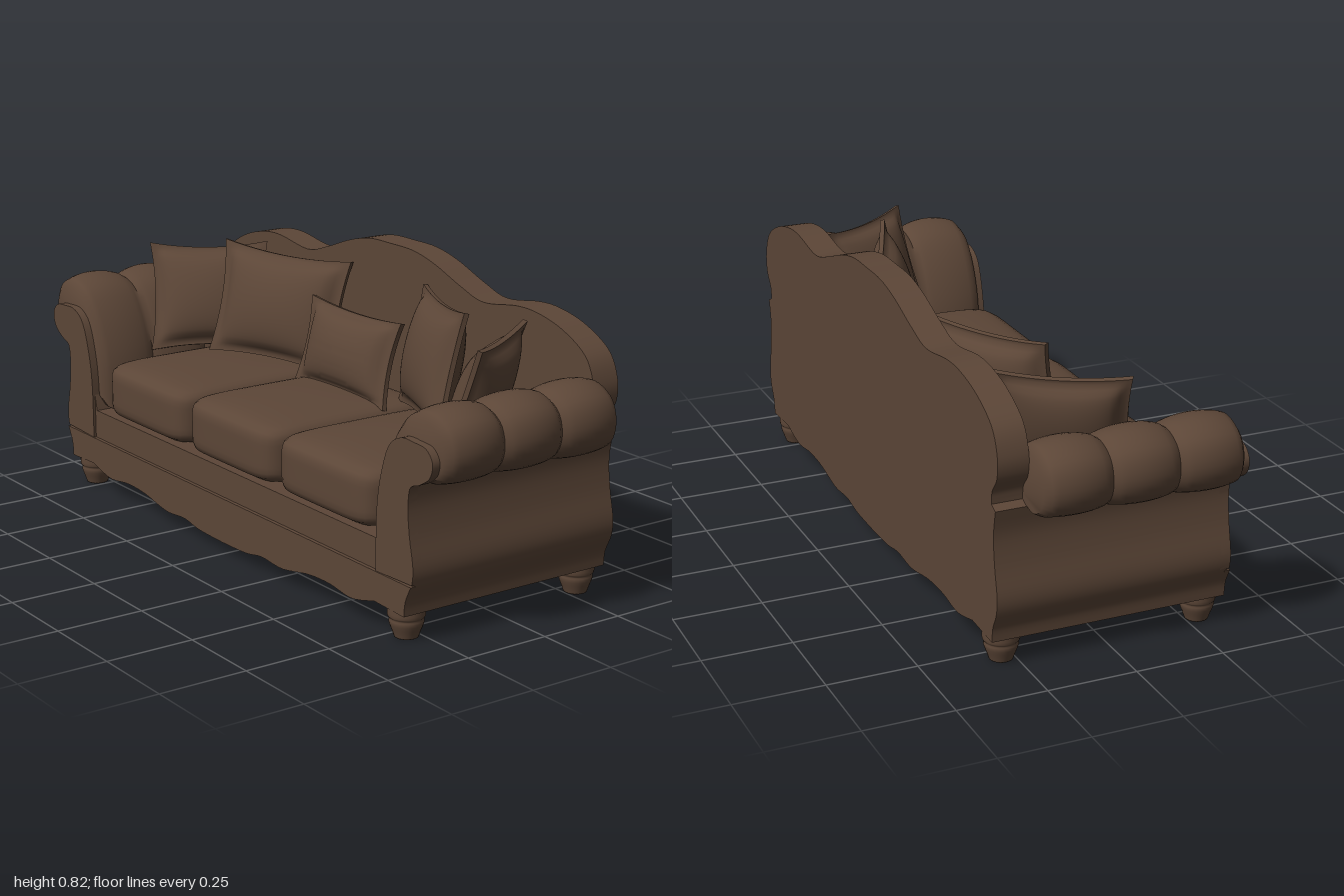
import * as THREE from 'three';
import { mergeVertices, toCreasedNormals } from 'three/addons/utils/BufferGeometryUtils.js';

const V = (x, y) => new THREE.Vector2(x, y);
const smooth = (pts, n = 24) => new THREE.SplineCurve(pts.map(p => V(...p))).getPoints(n);

// closed symmetric outline from its right half
function mirrored(half) {
  return new THREE.Shape([...half, ...half.slice().reverse().filter(p => p.x > 1e-4).map(p => V(-p.x, p.y))]);
}

// extrude an outline between two depths, keeping curved sides smooth
function slab(shape, z0, z1) {
  const g = new THREE.ExtrudeGeometry(shape, { depth: z1 - z0, bevelEnabled: false });
  g.translate(0, 0, z0);
  return toCreasedNormals(g, 0.6);
}

// subdivided cube whose vertices are moved by a rule
function shaped(segX, segY, segZ, rule) {
  let g = new THREE.BoxGeometry(2, 2, 2, segX, segY, segZ);
  g.deleteAttribute('uv');
  g.deleteAttribute('normal');
  g = mergeVertices(g);
  const p = g.attributes.position;
  for (let i = 0; i < p.count; i++) p.setXYZ(i, ...rule(p.getX(i), p.getY(i), p.getZ(i)));
  g.computeVertexNormals();
  return g;
}

// plump seat cushion
function cushionGeometry(w, h, d) {
  const n = 7;
  return shaped(18, 10, 18, (x, y, z) => {
    const k = 1 / Math.pow(Math.abs(x) ** n + Math.abs(y) ** n + Math.abs(z) ** n, 1 / n);
    const crown = 1 + (y > 0 ? 0.12 * (1 - x * x) * (1 - z * z) : 0);
    return [x * k * w / 2, y * k * crown * h / 2, z * k * d / 2];
  });
}

// stuffed pillow with a flat flange and pulled-in edges
function pillowGeometry(w, h, t) {
  const g = shaped(28, 28, 1, (x, y, z) => {
    const a = Math.max(0, 1 - (x / 0.87) ** 2), b = Math.max(0, 1 - (y / 0.87) ** 2);
    const puff = 0.007 + t * Math.pow(a * b, 0.42);
    return [x * w / 2 * (1 - 0.08 * (1 - y * y)), y * h / 2 * (1 - 0.1 * (1 - x * x)), z * puff];
  });
  return toCreasedNormals(g, 1);
}

// scalloped rolled arm: one cross-section scaled along the depth
function armGeometry(side) {
  const roll = smooth([[0.68, 0.24], [0.69, 0.38], [0.73, 0.5], [0.79, 0.59], [0.855, 0.627], [0.92, 0.63],
    [0.98, 0.595], [1, 0.53], [0.98, 0.47], [0.925, 0.437], [0.865, 0.445]], 36);
  const loop = [...roll, V(0.84, 0.4), V(0.8, 0.26)].map(p => V(p.x * side, p.y));
  if (side > 0) loop.reverse();
  const cx = 0.83 * side, cy = 0.48, z0 = -0.25, z1 = 0.31, rows = 36, m = loop.length;
  const pos = [], idx = [];
  for (let i = 0; i <= rows; i++) {
    const t = i / rows;
    const end = i === 0 || i === rows;
    const s = end ? 0.78 : 0.84 + 0.16 * Math.pow(Math.abs(Math.sin(3 * Math.PI * t)), 0.6);
    for (const p of loop) pos.push(cx + (p.x - cx) * s, cy + (p.y - cy) * s, z0 + (z1 - z0) * t);
  }
  pos.push(cx, cy, z0, cx, cy, z1);
  const c0 = (rows + 1) * m, last = rows * m;
  for (let j = 0; j < m; j++) {
    const k = (j + 1) % m;
    for (let i = 0; i < rows; i++) {
      const a = i * m + j, b = i * m + k;
      idx.push(a, b, b + m, a, b + m, a + m);
    }
    idx.push(c0, k, j, c0 + 1, last + j, last + k);
  }
  const g = new THREE.BufferGeometry();
  g.setAttribute('position', new THREE.Float32BufferAttribute(pos, 3));
  g.setIndex(idx);
  return toCreasedNormals(g, 0.9);
}

export function createModel() {
  const group = new THREE.Group();
  const leather = new THREE.MeshStandardMaterial({ color: 0x5c4637 });
  leather.name = 'brown leather';
  const add = (name, geometry, x = 0, y = 0, z = 0) => {
    const mesh = new THREE.Mesh(geometry, leather);
    mesh.name = name;
    mesh.position.set(x, y, z);
    group.add(mesh);
    return mesh;
  };

  // shared outlines: wavy lower edge and shaped outer side
  const lower = smooth([[0, 0.035], [0.12, 0.038], [0.2, 0.05], [0.3, 0.045], [0.42, 0.066],
    [0.52, 0.07], [0.62, 0.06], [0.72, 0.083]], 32);
  const outer = smooth([[0.845, 0.078], [0.85, 0.12], [0.872, 0.17], [0.876, 0.22], [0.86, 0.3], [0.853, 0.38], [0.864, 0.45]]);

  // base with the lower arms
  add('base', slab(mirrored([...lower, ...outer, V(0.8, 0.48), V(0.75, 0.42), V(0.71, 0.25), V(0, 0.25)]), -0.335, 0.325));
  add('frontApron', slab(mirrored([...lower, ...outer.filter(p => p.y < 0.165), V(0.872, 0.165), V(0, 0.165)]), 0.32, 0.336));

  // serpentine back
  const crest = smooth([[0.84, 0.47], [0.845, 0.5], [0.872, 0.54], [0.875, 0.6], [0.84, 0.67], [0.75, 0.72], [0.65, 0.745],
    [0.56, 0.748], [0.42, 0.73], [0.32, 0.755], [0.2, 0.797], [0.1, 0.818], [0, 0.82]], 60);
  add('backrest', slab(mirrored([V(0, 0.24), V(0.84, 0.24), ...crest]), -0.335, -0.25));

  for (const side of [1, -1]) {
    const label = side > 0 ? 'left' : 'right';
    add(label + 'RolledArm', armGeometry(side));

    // scroll-shaped panel on the arm front
    const scroll = smooth([[0.853, 0.38], [0.862, 0.425], [0.9, 0.442], [0.94, 0.47], [0.95, 0.51], [0.925, 0.54],
      [0.88, 0.546], [0.82, 0.545], [0.77, 0.51], [0.737, 0.42], [0.722, 0.32], [0.72, 0.165]], 48);
    const panel = [...outer.filter(p => p.y > 0.16 && p.y < 0.37), ...scroll].map(p => V(p.x * side, p.y));
    add(label + 'ArmFrontPanel', slab(new THREE.Shape(panel), 0.305, 0.333));

    // turned feet
    const foot = smooth([[0.032, 0], [0.037, 0.015], [0.046, 0.04], [0.045, 0.052], [0.05, 0.06], [0.05, 0.085]], 14);
    for (const z of [0.285, -0.285]) {
      add(label + (z > 0 ? 'Front' : 'Rear') + 'Foot', new THREE.LatheGeometry([V(0, 0), ...foot], 24), side * 0.79, 0, z);
    }

    // large and corner pillows
    const large = add(label + 'LargePillow', pillowGeometry(0.44, 0.34, 0.058), side * 0.37, 0.58, -0.115);
    large.rotation.set(-0.22, -side * 0.42, side * 0.05, 'YXZ');
    const corner = add(label + 'CornerPillow', pillowGeometry(0.36, 0.33, 0.055), side * 0.665, 0.565, -0.055);
    corner.rotation.set(-0.32, -side * 1.02, 0, 'YXZ');
  }

  // seat cushions and the small middle pillow
  [-0.452, 0, 0.452].forEach((x, i) => {
    add('seatCushion' + (i + 1), cushionGeometry(0.45, 0.17, 0.57), x, 0.328, 0.04);
  });
  add('middlePillow', pillowGeometry(0.43, 0.25, 0.05), 0, 0.523, -0.1).rotation.x = -0.25;

  return group;
}
